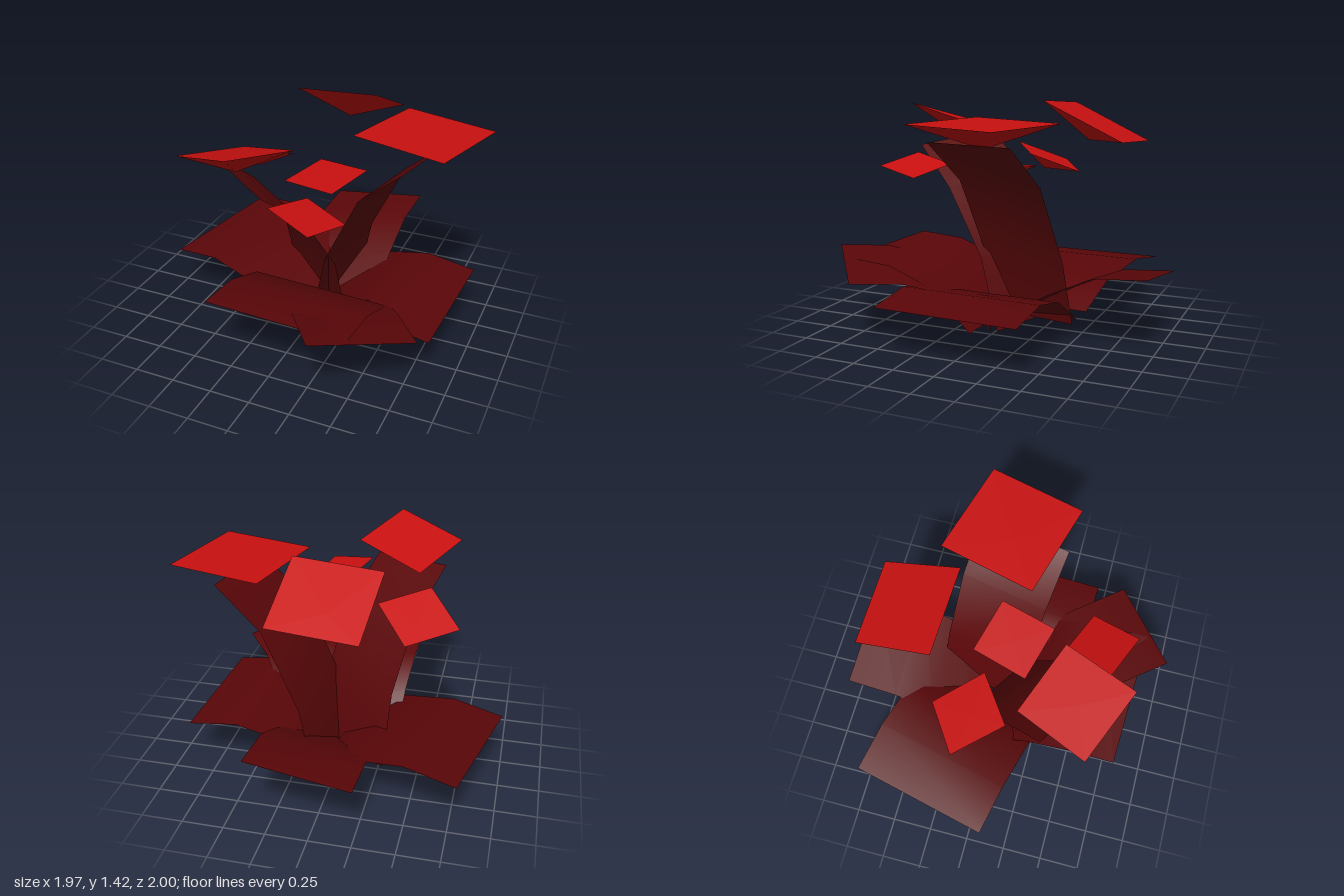
import * as THREE from 'three';

const leafMat = new THREE.MeshStandardMaterial({ color: 0x5a0608, side: THREE.DoubleSide });
const bloomMat = new THREE.MeshStandardMaterial({ color: 0xc81010, side: THREE.DoubleSide });

// Bent strip: one edge as a path from base to tip, the other edge offset by the width vector
function strip(name, width, path) {
  const pos = [], index = [];
  path.forEach((p, i) => {
    pos.push(...p, ...p.map((v, k) => v + width[k]));
    if (i > 0) {
      const a = 2 * (i - 1);
      index.push(a, a + 1, a + 2, a + 1, a + 3, a + 2);
    }
  });
  const g = new THREE.BufferGeometry();
  g.setAttribute('position', new THREE.Float32BufferAttribute(pos, 3));
  g.setIndex(index);
  g.computeVertexNormals();
  const mesh = new THREE.Mesh(g, leafMat);
  mesh.name = name;
  return mesh;
}

// Shallow four-sided cup, open at the top, with its point below the rim's centre
function bloom(name, corners) {
  const c = corners.map((p) => new THREE.Vector3(...p));
  const centre = c.reduce((s, v) => s.add(v), new THREE.Vector3()).multiplyScalar(0.25);
  const up = c[2].clone().sub(c[0]).cross(c[3].clone().sub(c[1])).normalize();
  if (up.y < 0) up.negate();
  const apex = centre.addScaledVector(up, -0.23 * c[0].distanceTo(c[1]));
  const g = new THREE.BufferGeometry().setFromPoints([...c, apex]);
  const index = [];
  for (let i = 0; i < 4; i++) index.push(i, 4, (i + 1) % 4);
  g.setIndex(index);
  // One shared direction keeps the cup evenly shaded
  const normals = Array.from({ length: 5 }, () => up.toArray()).flat();
  g.setAttribute('normal', new THREE.Float32BufferAttribute(normals, 3));
  const mesh = new THREE.Mesh(g, bloomMat);
  mesh.name = name;
  return mesh;
}

export function createModel() {
  const plant = new THREE.Group();
  plant.name = 'plant';

  // Tall upright leaves
  plant.add(
    strip('tallLeafLeft', [0.11, 0, -0.55],
      [[0.0, 0.08, 0.08], [0.09, 0.48, 0.115], [0.32, 0.95, 0.17], [0.61, 1.2, 0.23]]),
    strip('tallLeafFront', [-0.48, 0.07, -0.3],
      [[0.19, 0, -0.01], [0.16, 0.45, 0.11], [0.07, 0.86, 0.37], [-0.07, 1.105, 0.64]])
  );

  // Low spreading leaves
  plant.add(
    strip('lowLeafRight', [0.195, 0.045, -0.86],
      [[-0.1, 0.12, 0.31], [-0.32, 0.26, 0.25], [-0.675, 0.33, 0.16], [-0.985, 0.285, 0.09]]),
    strip('lowLeafBack', [-0.625, -0.09, -0.02],
      [[0.34, 0.16, -0.12], [0.35, 0.32, -0.4], [0.36, 0.445, -0.66], [0.37, 0.47, -0.98]]),
    strip('lowLeafLeft', [-0.04, 0, 0.88],
      [[0.06, 0.1, -0.48], [0.34, 0.28, -0.465], [0.6, 0.335, -0.45], [0.91, 0.29, -0.435]]),
    strip('lowLeafFront', [0.89, 0, 0.04],
      [[-0.33, 0.1, -0.04], [-0.345, 0.33, 0.2], [-0.36, 0.44, 0.5], [-0.37, 0.46, 0.8]]),
    strip('lowLeafFrontLeft', [0.495, -0.095, -0.38],
      [[-0.12, 0.16, 0.32], [0.0, 0.38, 0.5], [0.17, 0.475, 0.755], [0.355, 0.495, 0.995]])
  );

  // Blooms
  plant.add(
    bloom('bloomBack',
      [[-0.29, 1.39, -0.345], [0.24, 1.425, -0.32], [0.27, 1.205, -0.8], [-0.25, 1.17, -0.82]]),
    bloom('bloomLeft',
      [[0.4, 1.31, -0.49], [0.98, 1.305, -0.33], [0.83, 1.315, 0.25], [0.25, 1.32, 0.09]]),
    bloom('bloomFrontRight',
      [[-0.41, 1.175, 0.175], [0, 1.29, 0.35], [-0.2, 1.365, 0.78], [-0.615, 1.25, 0.6]]),
    bloom('bloomRight',
      [[-0.41, 0.935, -0.335], [-0.2, 1.065, -0.07], [-0.49, 1.11, 0.13], [-0.7, 0.98, -0.14]]),
    bloom('bloomCentre',
      [[-0.06, 1.01, -0.18], [0.28, 1.03, -0.09], [0.19, 1.01, 0.255], [-0.155, 0.99, 0.16]]),
    bloom('bloomFront',
      [[0.08, 1.01, 0.35], [0.36, 0.95, 0.46], [0.26, 1.0, 0.755], [-0.03, 1.06, 0.64]])
  );
  return plant;
}
